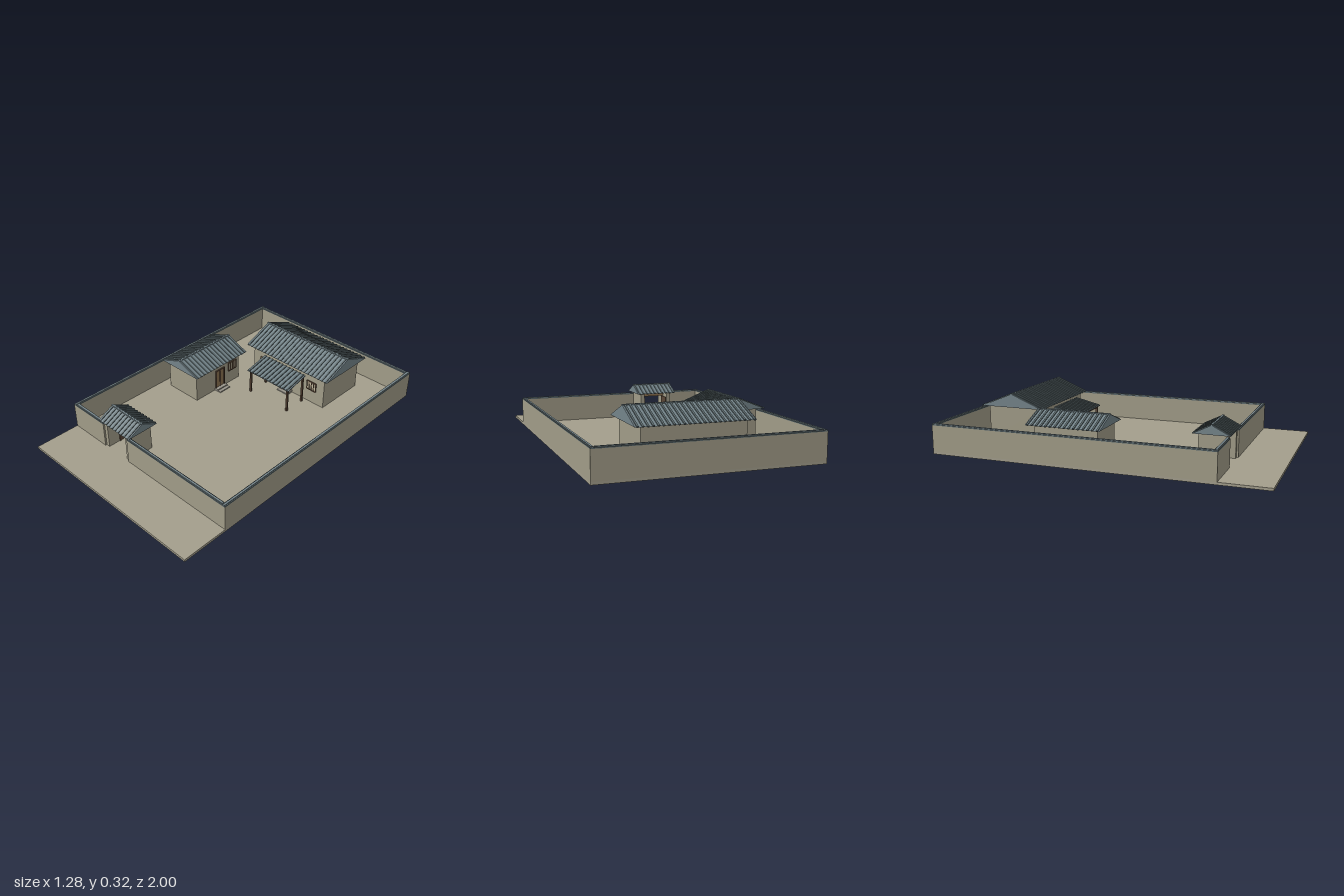
import * as THREE from 'three';

const mat = (name, color) => {
  const m = new THREE.MeshStandardMaterial({ color });
  m.name = name;
  return m;
};

export function createModel() {
  const M = {
    ground: mat('packed earth', 0xa39e8c),
    wall: mat('clay wall', 0xa19c88),
    stone: mat('step stone', 0x98948a),
    tile: mat('roof tile', 0x74848a),
    rib: mat('roof rib', 0x5c6a6d),
    wood: mat('dark wood', 0x5a4636),
    beam: mat('light wood', 0x8a7050),
    pane: mat('paper pane', 0xc2b99f),
  };
  const G = 0.015; // ground level
  const model = new THREE.Group();
  model.name = 'walledCourtyard';

  const group = (name, parent = model) => {
    const g = new THREE.Group();
    g.name = name;
    parent.add(g);
    return g;
  };
  // Box given by its lower and upper bounds
  const box = (parent, name, m, x0, x1, y0, y1, z0, z1) => {
    const mesh = new THREE.Mesh(new THREE.BoxGeometry(x1 - x0, y1 - y0, z1 - z0), m);
    mesh.position.set((x0 + x1) / 2, (y0 + y1) / 2, (z0 + z1) / 2);
    mesh.name = name;
    parent.add(mesh);
    return mesh;
  };

  // Evenly spaced tile ribs down one slope, from the ridge (z=0,y=top) outward
  const ribs = (parent, len, run, rise, top, side, z0 = 0) => {
    const n = Math.round(len / 0.028);
    const slope = Math.hypot(run, rise);
    const geo = new THREE.BoxGeometry(0.011, 0.008, slope);
    for (let i = 0; i < n; i++) {
      const r = new THREE.Mesh(geo, M.rib);
      r.name = 'roofRib';
      r.position.set(-len / 2 + (i + 0.5) * len / n, top - rise / 2 + 0.001, z0 + side * run / 2);
      r.rotation.x = side * Math.atan2(rise, run);
      parent.add(r);
    }
  };

  // Solid gable roof with its ridge along local x
  const gableRoof = (parent, len, depth, eave, top) => {
    const g = group('gableRoof', parent);
    const h = depth / 2, rise = top - eave - 0.004;
    const s = new THREE.Shape([
      new THREE.Vector2(-h, 0), new THREE.Vector2(h, 0), new THREE.Vector2(0, rise),
    ]);
    const geo = new THREE.ExtrudeGeometry(s, { depth: len, bevelEnabled: false });
    geo.translate(0, eave, -len / 2).rotateY(Math.PI / 2);
    const prism = new THREE.Mesh(geo, M.tile);
    prism.name = 'roofSlopes';
    g.add(prism);
    for (const side of [-1, 1]) ribs(g, len, h, rise, eave + rise, side);
    box(g, 'ridgeCap', M.tile, -len / 2, len / 2, top - 0.008, top, -0.006, 0.006);
  };

  // Facade details, on a wall facing local +z at depth z
  const windowAt = (parent, x, z) => {
    const g = group('latticeWindow', parent);
    const w = 0.035, y0 = 0.108, y1 = 0.168;
    box(g, 'windowPane', M.pane, x - w, x + w, y0, y1, z, z + 0.003);
    for (const y of [y0, y1]) box(g, 'windowRail', M.wood, x - w, x + w, y - 0.003, y + 0.003, z, z + 0.007);
    for (let i = 0; i < 5; i++) {
      const bx = x - w + i * w / 2;
      box(g, 'windowBar', M.wood, bx - 0.0025, bx + 0.0025, y0, y1, z, z + 0.007);
    }
  };
  const doorAt = (parent, x, z) => {
    const g = group('houseDoor', parent);
    const w = 0.036;
    box(g, 'doorPanel', M.beam, x - w, x + w, G, 0.155, z, z + 0.004);
    for (const dx of [-w, 0, w]) box(g, 'doorStile', M.wood, x + dx - 0.004, x + dx + 0.004, G, 0.16, z, z + 0.008);
    box(g, 'doorHead', M.wood, x - w, x + w, 0.152, 0.16, z, z + 0.008);
    box(g, 'upperStep', M.stone, x - 0.045, x + 0.045, G, 0.03, z, z + 0.028);
    box(g, 'lowerStep', M.stone, x - 0.045, x + 0.045, G, 0.022, z + 0.028, z + 0.05);
  };

  // Ground slab
  box(model, 'ground', M.ground, -0.642, 0.642, 0, G, -1, 1);

  // Perimeter wall with tiled coping, leaving the gate gap open
  const fence = group('perimeterWall');
  const T = 0.024;
  const run = (x0, x1, z0, z1) => {
    box(fence, 'wallRun', M.wall, x0, x1, G, 0.173, z0, z1);
    const cop = box(fence, 'wallCoping', M.rib, x0, x1, 0.173, 0.179, z0, z1);
    const alongX = x1 - x0 > z1 - z0;
    const cx = (x0 + x1) / 2, cz = (z0 + z1) / 2, r = 0.006;
    if (alongX) box(fence, 'copingRidge', M.tile, x0, x1, 0.179, 0.184, cz - r, cz + r);
    else box(fence, 'copingRidge', M.tile, cx - r, cx + r, 0.179, 0.184, z0, z1);
    return cop;
  };
  run(-0.642, -0.642 + T, -1, 0.71);
  run(0.642 - T, 0.642, -1, 0.71);
  run(-0.642 + T, 0.642 - T, -1, -1 + T);
  run(-0.642 + T, -0.36, 0.71 - T, 0.71);
  run(-0.145, 0.642 - T, 0.71 - T, 0.71);

  // Gatehouse: side piers, lintel, open leaves and roof
  const gate = group('gatehouse');
  gate.position.set(-0.2525, 0, 0.61);
  for (const s of [-1, 1]) {
    const a = s * 0.082, b = s * 0.108;
    box(gate, 'gatePier', M.wall, Math.min(a, b), Math.max(a, b), G, 0.198, -0.08, 0.09);
    const c = s * 0.076;
    box(gate, 'gatePost', M.wood, Math.min(a, c), Math.max(a, c), G, 0.165, 0.0, 0.012);
    box(gate, 'gateLeaf', M.wood, Math.min(a, c) + 0.001, Math.max(a, c) - 0.001, G + 0.003, 0.162, -0.076, 0.0);
  }
  box(gate, 'gateLintel', M.beam, -0.082, 0.082, 0.165, 0.198, -0.01, 0.06);
  gableRoof(gate, 0.272, 0.216, 0.195, 0.253);

  // Main house
  const main = group('mainHouse');
  main.position.set(0.042, 0, -0.667);
  box(main, 'mainWalls', M.wall, -0.295, 0.298, G, 0.237, -0.175, 0.175);
  gableRoof(main, 0.672, 0.412, 0.235, 0.322);
  doorAt(main, 0, 0.175);
  for (const x of [-0.2, 0.2]) windowAt(main, x, 0.175);

  // Side house, facing +x
  const side = group('sideHouse');
  side.position.set(-0.425, 0, -0.19);
  side.rotation.y = Math.PI / 2;
  box(side, 'sideWalls', M.wall, -0.2, 0.19, G, 0.212, -0.125, 0.128);
  gableRoof(side, 0.456, 0.328, 0.21, 0.278);
  doorAt(side, 0.01, 0.128);
  windowAt(side, 0.125, 0.128);

  // Lean-to porch in front of the main house
  const porch = group('porch');
  porch.position.set(0.038, 0, -0.46);
  const depth = 0.165, drop = 0.038;
  const slab = new THREE.Mesh(new THREE.BoxGeometry(0.345, 0.006, Math.hypot(depth, drop)), M.tile);
  slab.name = 'porchRoof';
  slab.position.set(0, 0.216 - drop / 2, depth / 2);
  slab.rotation.x = Math.atan2(drop, depth);
  porch.add(slab);
  ribs(porch, 0.345, depth, drop, 0.22, 1);
  for (const [z, top] of [[0.003, 0.212], [0.15, 0.178]]) {
    for (const x of [-0.155, 0.155]) box(porch, 'porchPost', M.wood, x - 0.006, x + 0.006, G, top, z - 0.006, z + 0.006);
    box(porch, 'porchBeam', M.wood, -0.165, 0.165, top - 0.012, top, z - 0.005, z + 0.005);
  }

  return model;
}
